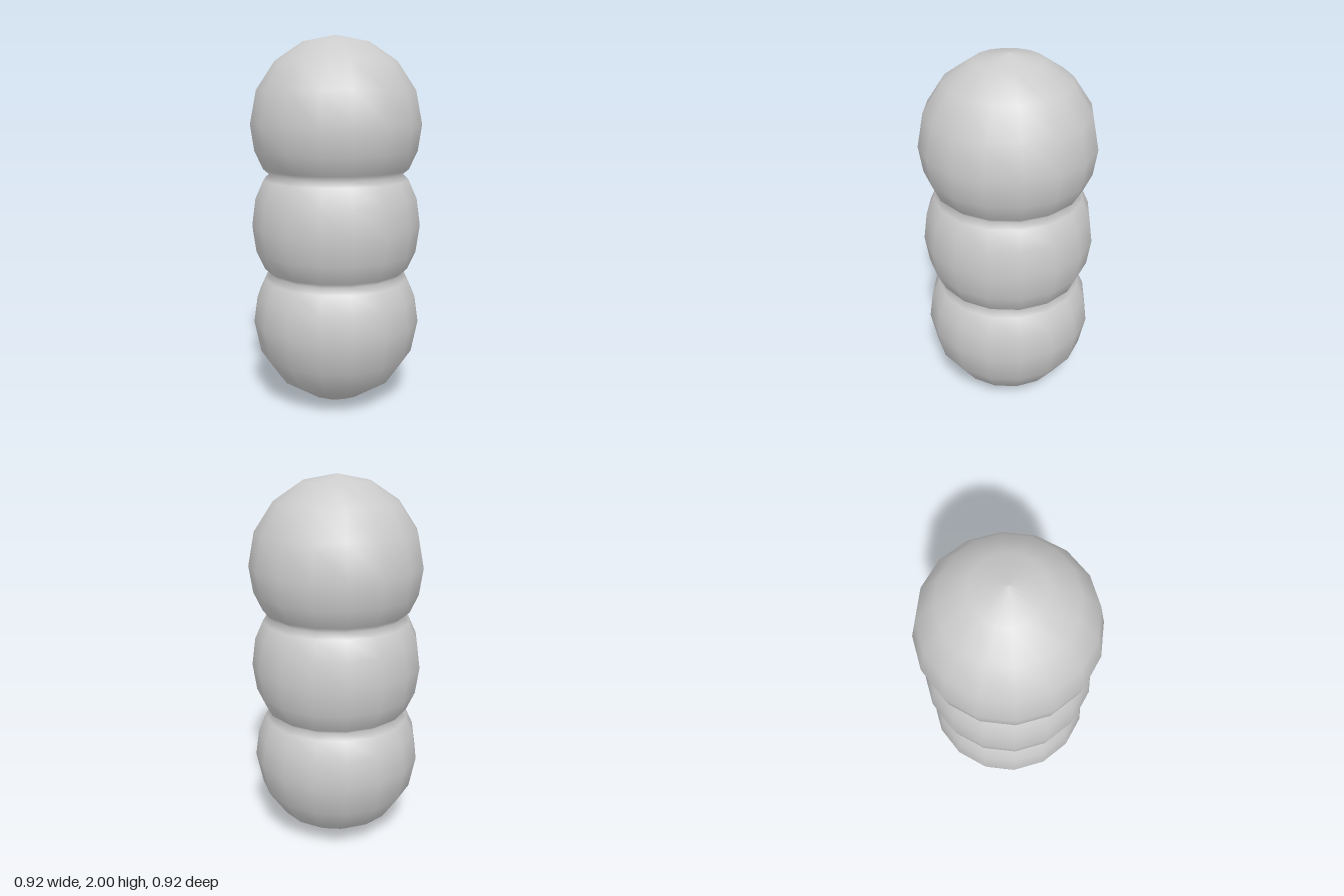
import * as THREE from 'three';

const RADIUS = 0.46;
const SIDES = 16;

export function createModel() {
  const group = new THREE.Group();
  group.name = 'stackedBalls';

  // Upper half of the profile: middle ball, groove, top ball up to its equator
  const upper = [
    [0.44, 1.145], [0.395, 1.245], [0.36, 1.272], [0.395, 1.302], [0.44, 1.4],
  ].map(([r, y]) => new THREE.Vector2(r, y));

  // Round cap of the top ball, from equator to pole
  for (let i = 0; i <= 4; i++) {
    const a = (i / 4) * Math.PI / 2;
    upper.push(new THREE.Vector2(i === 4 ? 0 : RADIUS * Math.cos(a), 1.54 + RADIUS * Math.sin(a)));
  }

  // Mirror about the middle ball's equator for the lower half
  const lower = upper.map((p) => new THREE.Vector2(p.x, 2 - p.y)).reverse();
  const profile = [...lower, new THREE.Vector2(RADIUS, 1), ...upper];

  // One smooth surface of revolution
  const body = new THREE.Mesh(
    new THREE.LatheGeometry(profile, SIDES),
    new THREE.MeshStandardMaterial({ color: 0xcccccc }),
  );
  body.name = 'threeBallBody';
  group.add(body);
  return group;
}
